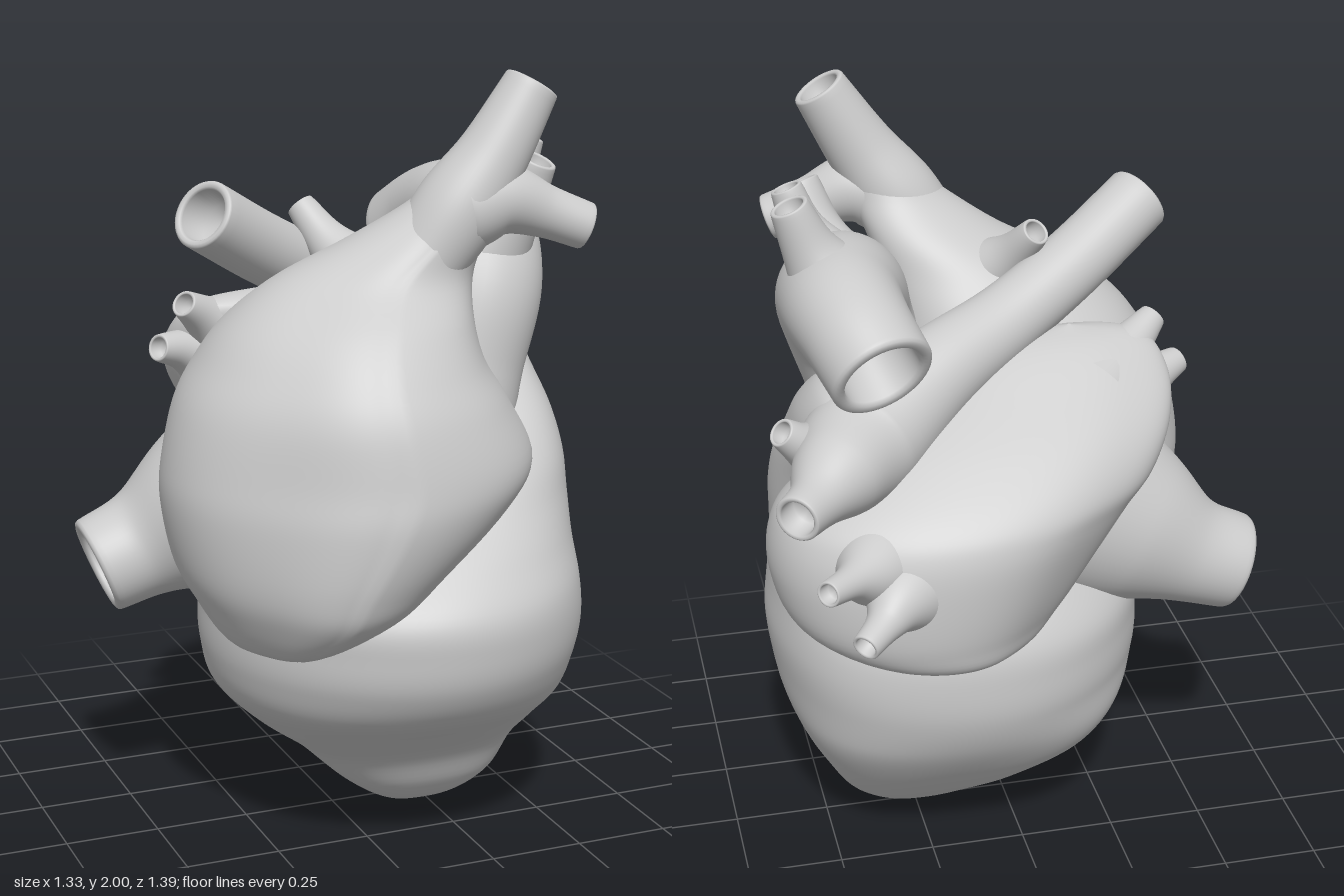
import * as THREE from 'three';

const SIDES = 48;
const material = new THREE.MeshStandardMaterial({ color: 0xcccccc, side: THREE.DoubleSide });

// Skins a list of closed rings (equal point counts) with smooth shared vertices.
function skin(rings) {
  const pos = [], index = [], n = rings[0].length;
  rings.forEach((ring) => ring.forEach((p) => pos.push(p.x, p.y, p.z)));
  for (let i = 0; i < rings.length - 1; i++) {
    for (let j = 0; j < n; j++) {
      const k = (j + 1) % n;
      const a = i * n + j, b = i * n + k, c = a + n, d = b + n;
      index.push(a, b, d, a, d, c);
    }
  }
  const g = new THREE.BufferGeometry();
  g.setAttribute('position', new THREE.Float32BufferAttribute(pos, 3));
  g.setIndex(index);
  g.computeVertexNormals();
  return g;
}

const spline = (pts) => new THREE.CatmullRomCurve3(pts.map((p) => new THREE.Vector3(...p)), false, 'catmullrom', 0.5);
const bump = (t, centre, width) => Math.exp(-(((t - centre) / width) ** 2));
const step = THREE.MathUtils.smoothstep;

// Stacked oval sections [y, xMin, xMax, zMin, zMax]; shape(angle, y) scales the outline.
// The angle runs from the front (0) over +x to the back (PI).
function loft(sections, shape) {
  const a = spline(sections.map((s) => [s[0], s[1], s[2]]));
  const b = spline(sections.map((s) => [s[3], s[4], 0]));
  const steps = sections.length * 6, rings = [];
  for (let i = 0; i <= steps; i++) {
    const p = a.getPoint(i / steps), q = b.getPoint(i / steps), ring = [];
    for (let j = 0; j < SIDES * 2; j++) {
      const t = (j / SIDES) * Math.PI, k = shape(t, p.x);
      ring.push(new THREE.Vector3(
        (p.y + p.z) / 2 + k * Math.sin(t) * (p.z - p.y) / 2,
        p.x,
        (q.x + q.y) / 2 + k * Math.cos(t) * (q.y - q.x) / 2));
    }
    rings.push(ring);
  }
  return skin(rings);
}

// Tube through [x, y, z, radius] points; open ends get a rounded rim and a bore.
function vessel(points, openStart = false) {
  const path = spline(points), radius = spline(points.map((p) => [p[3], 0, 0]));
  const steps = points.length * 8, rings = [];
  let normal = new THREE.Vector3(0.31, 0.2, 0.93);
  const add = (c, t, r) => {
    normal = normal.clone().addScaledVector(t, -normal.dot(t)).normalize();
    const bin = t.clone().cross(normal), ring = [];
    for (let j = 0; j < SIDES; j++) {
      const w = (j / SIDES) * Math.PI * 2;
      ring.push(c.clone().addScaledVector(normal, r * Math.cos(w)).addScaledVector(bin, r * Math.sin(w)));
    }
    rings.push(ring);
  };
  // rim profile: [distance past the end, radius], in multiples of the end radius
  const rim = [[0.06, 0.97], [0.09, 0.9], [0.07, 0.8], [0, 0.75], [-0.9, 0.7], [-0.9, 0.001]];
  const addRim = (u, dir, list) => {
    const c = path.getPoint(u), t = path.getTangent(u), r = radius.getPoint(u).x;
    list.forEach(([d, s]) => add(c.clone().addScaledVector(t, dir * d * r), t, s * r));
  };
  if (openStart) addRim(0, -1, [...rim].reverse());
  for (let i = 0; i <= steps; i++) {
    const u = i / steps;
    add(path.getPoint(u), path.getTangent(u), radius.getPoint(u).x);
  }
  addRim(1, 1, rim);
  return skin(rings);
}

export function createModel() {
  const model = new THREE.Group();
  const part = (name, geometry) => {
    const mesh = new THREE.Mesh(geometry, material);
    mesh.name = name;
    model.add(mesh);
  };

  // Ventricles, narrowing upward into the pulmonary trunk: fuller diagonals near the apex
  // and at the back, a faint groove on the left flank
  const ventricleShape = (t, y) => 1 + 0.08 * Math.sin(2 * t) ** 2 * (1 - step(y, 0.15, 0.5))
    + 0.06 * bump(t, 2.36, 0.45) * step(y, 0.2, 0.4) * (1 - step(y, 0.65, 0.9))
    + 0.1 * bump(t, 3.93, 0.5) * step(y, 0.03, 0.15) * (1 - step(y, 0.25, 0.5))
    - 0.015 * bump(t, 1.25, 0.16) * step(y, 0.2, 0.4) * (1 - step(y, 0.75, 1));
  part('ventricles', loft([
    [0, 0.215, 0.225, 0.025, 0.035],
    [0.02, 0.12, 0.34, -0.04, 0.11],
    [0.09, 0.01, 0.44, -0.13, 0.185],
    [0.2, -0.11, 0.505, -0.25, 0.255],
    [0.3, -0.24, 0.56, -0.34, 0.385],
    [0.4, -0.335, 0.6, -0.41, 0.53],
    [0.5, -0.37, 0.62, -0.45, 0.605],
    [0.6, -0.375, 0.63, -0.46, 0.63],
    [0.7, -0.36, 0.62, -0.45, 0.625],
    [0.8, -0.26, 0.61, -0.4, 0.55],
    [0.9, -0.08, 0.61, -0.33, 0.45],
    [1.0, 0.1, 0.61, -0.28, 0.36],
    [1.1, 0.25, 0.6, -0.27, 0.25],
    [1.2, 0.34, 0.58, -0.32, 0.13],
    [1.3, 0.38, 0.56, -0.34, 0.01],
    [1.37, 0.42, 0.52, -0.32, -0.09],
    [1.4, 0.469, 0.471, -0.21, -0.2],
  ], ventricleShape));

  // Right atrium, flatter toward the outer front and fuller toward the auricle
  const atriumShape = (t) => 1 - 0.115 * bump(t, 5.5, 0.55) + 0.03 * bump(t, 0.7, 0.4);
  part('rightAtrium', loft([
    [0.57, -0.29, -0.28, 0.27, 0.28],
    [0.6, -0.38, -0.13, 0.05, 0.47],
    [0.7, -0.45, 0.05, -0.1, 0.61],
    [0.8, -0.5, 0.17, -0.17, 0.66],
    [0.95, -0.53, 0.34, -0.21, 0.69],
    [1.06, -0.525, 0.41, -0.21, 0.685],
    [1.2, -0.49, 0.345, -0.19, 0.655],
    [1.3, -0.435, 0.285, -0.15, 0.605],
    [1.4, -0.36, 0.265, -0.08, 0.53],
    [1.5, -0.235, 0.275, 0.02, 0.43],
    [1.59, -0.06, 0.3, 0.1, 0.4],
    [1.68, 0.08, 0.335, 0.19, 0.395],
    [1.77, 0.2, 0.36, 0.245, 0.39],
    [1.83, 0.295, 0.33, 0.31, 0.33],
  ], atriumShape));

  // Great veins of the right atrium
  part('superiorVenaCava', vessel([
    [0.12, 1.54, 0.3, 0.1], [0.21, 1.67, 0.31, 0.11], [0.3, 1.8, 0.32, 0.09], [0.4, 1.965, 0.32, 0.071]]));
  part('brachiocephalicVein', vessel([
    [0.22, 1.67, 0.315, 0.11], [0.32, 1.69, 0.33, 0.092], [0.43, 1.655, 0.345, 0.067], [0.535, 1.615, 0.365, 0.06]]));
  part('azygosVein', vessel([
    [0.04, 1.46, 0.18, 0.12], [-0.04, 1.56, 0.085, 0.06], [-0.09, 1.65, 0.01, 0.037]]));
  part('inferiorVenaCava', vessel([
    [-0.15, 0.94, -0.04, 0.3], [-0.34, 0.84, -0.09, 0.22], [-0.48, 0.765, -0.12, 0.148], [-0.605, 0.715, -0.125, 0.13]]));

  // Left atrium, a boxy sac across the back with its auricle on the left flank
  part('leftAtrium', loft([
    [0.69, 0.2, 0.21, -0.4, -0.39],
    [0.715, 0.02, 0.42, -0.53, -0.2],
    [0.79, -0.1, 0.6, -0.57, 0.02],
    [0.92, -0.2, 0.655, -0.585, 0.08],
    [1.04, -0.28, 0.645, -0.58, 0.07],
    [1.12, -0.34, 0.59, -0.54, 0.02],
    [1.22, -0.39, 0.44, -0.43, -0.01],
    [1.32, -0.4, 0.24, -0.29, -0.01],
    [1.4, -0.34, 0.06, -0.17, -0.02],
    [1.43, -0.16, -0.15, -0.09, -0.08],
  ], (t) => 1 + 0.03 * Math.sin(2 * t) ** 2 - 0.11 * bump(t, 3.93, 0.5)));

  // Pulmonary veins, two on each side
  [
    [[0.34, 0.99, -0.35, 0.17], [0.44, 1.02, -0.5, 0.095], [0.5, 1.04, -0.58, 0.045], [0.565, 1.05, -0.645, 0.032]],
    [[0.28, 0.95, -0.38, 0.18], [0.38, 0.95, -0.54, 0.09], [0.43, 0.93, -0.61, 0.047], [0.485, 0.91, -0.67, 0.035]],
    [[-0.22, 1.28, -0.14, 0.12], [-0.32, 1.36, -0.08, 0.06], [-0.39, 1.41, -0.035, 0.035]],
    [[-0.22, 1.2, -0.17, 0.13], [-0.36, 1.27, -0.11, 0.06], [-0.45, 1.295, -0.065, 0.035]],
  ].forEach((p, i) => part(`pulmonaryVein${i + 1}`, vessel(p)));

  // Pulmonary arteries: one long vessel across the back, plus a small upper branch
  part('pulmonaryArteries', vessel([
    [-0.395, 1.665, 0.145, 0.088], [-0.2, 1.55, 0.04, 0.09], [0, 1.45, -0.06, 0.095], [0.2, 1.37, -0.16, 0.115],
    [0.4, 1.26, -0.27, 0.148], [0.5, 1.24, -0.41, 0.115], [0.565, 1.225, -0.505, 0.07], [0.62, 1.22, -0.575, 0.058]], true));
  part('pulmonaryArteryBranch', vessel([
    [0.46, 1.2, -0.24, 0.13], [0.56, 1.28, -0.32, 0.06], [0.62, 1.335, -0.35, 0.036]]));

  // Aortic arch and its three upper branches
  part('aorta', vessel([
    [0.27, 1.0, 0.14, 0.16], [0.32, 1.22, 0.11, 0.16], [0.38, 1.42, 0.08, 0.165], [0.415, 1.535, -0.03, 0.165],
    [0.435, 1.57, -0.18, 0.148], [0.42, 1.55, -0.31, 0.135], [0.385, 1.49, -0.415, 0.13]]));
  [
    [[0.38, 1.5, 0.08, 0.14], [0.44, 1.63, 0.155, 0.075], [0.48, 1.76, 0.2, 0.053]],
    [[0.41, 1.55, 0, 0.13], [0.49, 1.69, 0.04, 0.06], [0.53, 1.8, 0.055, 0.04]],
    [[0.43, 1.58, -0.13, 0.13], [0.5, 1.7, -0.13, 0.072], [0.55, 1.82, -0.135, 0.048]],
  ].forEach((p, i) => part(`aorticBranch${i + 1}`, vessel(p)));

  return model;
}
